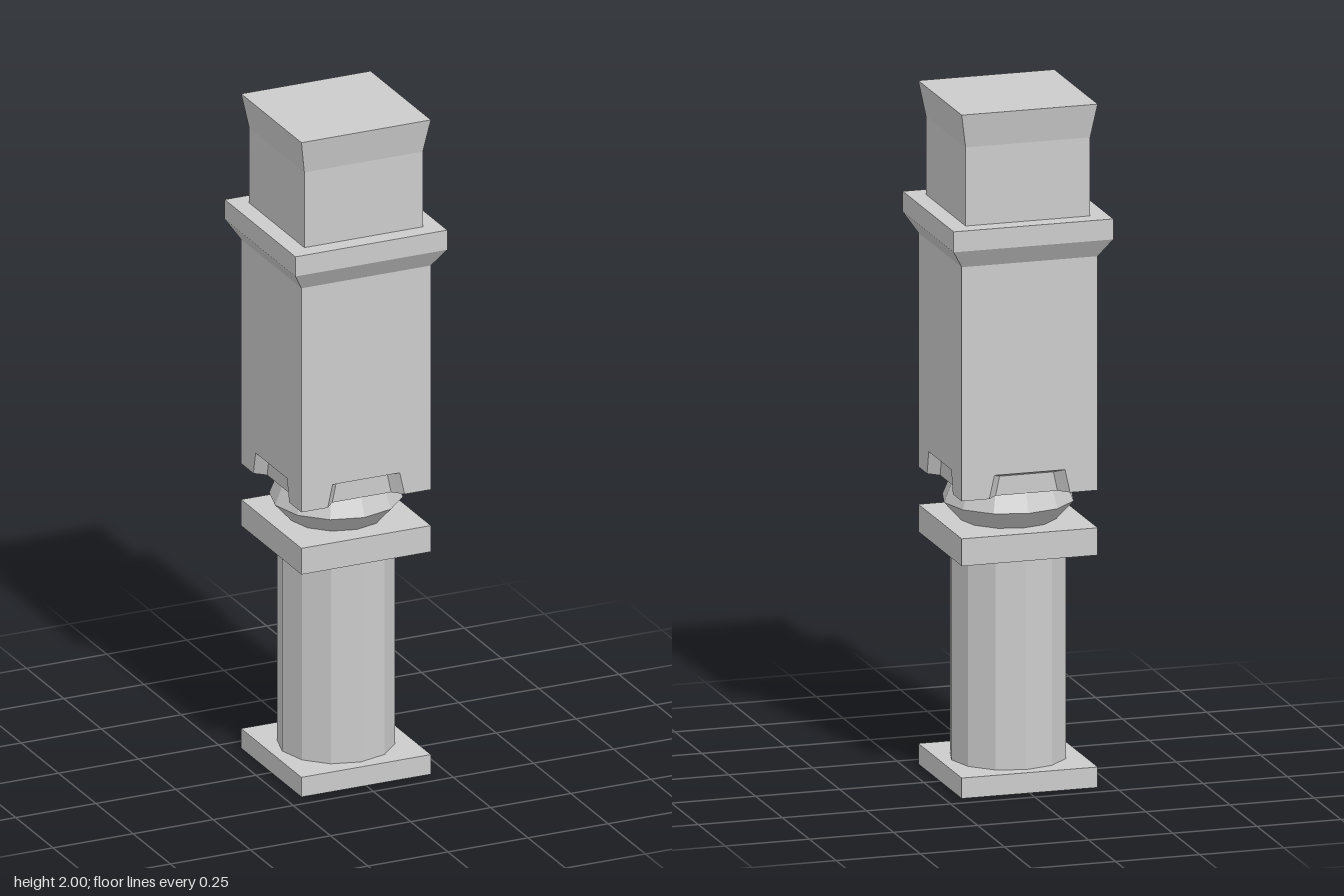
import * as THREE from 'three';

const H = 0.202;                  // half width of the square parts
const Y0 = 0.87, Y1 = 1.555;      // bottom and top of the upper block
const D = 0.03;                   // depth of the notches

export function createModel() {
  const group = new THREE.Group();
  const mat = new THREE.MeshStandardMaterial({ color: 0xcccccc, flatShading: true });

  const add = (name, geometry, parent = group) => {
    const mesh = new THREE.Mesh(geometry, mat);
    mesh.name = name;
    parent.add(mesh);
    return mesh;
  };
  const slab = (name, y0, y1) => {
    add(name, new THREE.BoxGeometry(2 * H, y1 - y0, 2 * H)).position.y = (y0 + y1) / 2;
  };
  const lathe = (pts, sides, scale = 1, start = 0) => new THREE.LatheGeometry(
    pts.map(([r, y]) => new THREE.Vector2(r * scale, y)), sides, start);
  // square section: profile gives half widths, bottom to top
  const square = (pts) => lathe(pts, 4, Math.SQRT2, Math.PI / 4);
  const flat = (pts) => new THREE.ShapeGeometry(
    new THREE.Shape(pts.map(([x, y]) => new THREE.Vector2(x, y))));

  // Lower post
  slab('basePlate', 0, 0.06);
  add('column', new THREE.CylinderGeometry(0.168, 0.168, 0.62, 12, 1, true)).position.y = 0.37;
  slab('columnCap', 0.68, 0.76);
  add('bulb', lathe([[0.14, 0.76], [0.19, 0.815], [0.168, 0.87]], 12));

  // Upper block: four identical walls, each with a bevelled notch at the foot
  const outer = [[-0.12, Y0], [-0.105, 0.938], [0.105, 0.938], [0.12, Y0]];
  const inner = [[-0.092, Y0], [-0.08, 0.926], [0.08, 0.926], [0.092, Y0]];
  const wall = flat([[-H, Y0], ...outer, [H, Y0], [H, Y1], [-H, Y1]]);
  const panel = flat(inner);

  const bevelPos = [];
  for (let i = 0; i < 3; i++) {
    const a = [...outer[i], 0], b = [...outer[i + 1], 0];
    const c = [...inner[i + 1], -D], d = [...inner[i], -D];
    bevelPos.push(...a, ...d, ...b, ...b, ...d, ...c);
  }
  const bevel = new THREE.BufferGeometry();
  bevel.setAttribute('position', new THREE.Float32BufferAttribute(bevelPos, 3));
  bevel.computeVertexNormals();

  const block = new THREE.Group();
  block.name = 'upperBlock';
  group.add(block);
  const foot = [];
  for (let i = 0; i < 4; i++) {
    const side = new THREE.Group();
    side.name = 'blockSide';
    side.rotation.y = i * Math.PI / 2;
    block.add(side);
    add('wall', wall, side).position.z = H;
    add('notchBevel', bevel, side).position.z = H;
    add('notchPanel', panel, side).position.z = H - D;
    // footprint of this side, turned into place
    for (const [x, y] of [[-H, -H], [-0.12, -H], [-0.092, D - H], [0.092, D - H], [0.12, -H]]) {
      const v = new THREE.Vector2(x, y).rotateAround(new THREE.Vector2(), i * Math.PI / 2);
      foot.push([v.x, v.y]);
    }
  }
  add('blockUnderside', flat(foot).rotateX(Math.PI / 2), block).position.y = Y0;

  // Cornice and flared head
  add('cornice', square([[H, Y1], [0.237, 1.61], [0.237, 1.67], [0.18, 1.67]]));
  add('head', square([[0.185, 1.67], [0.185, 1.9], [H, 2], [0, 2]]));
  return group;
}
